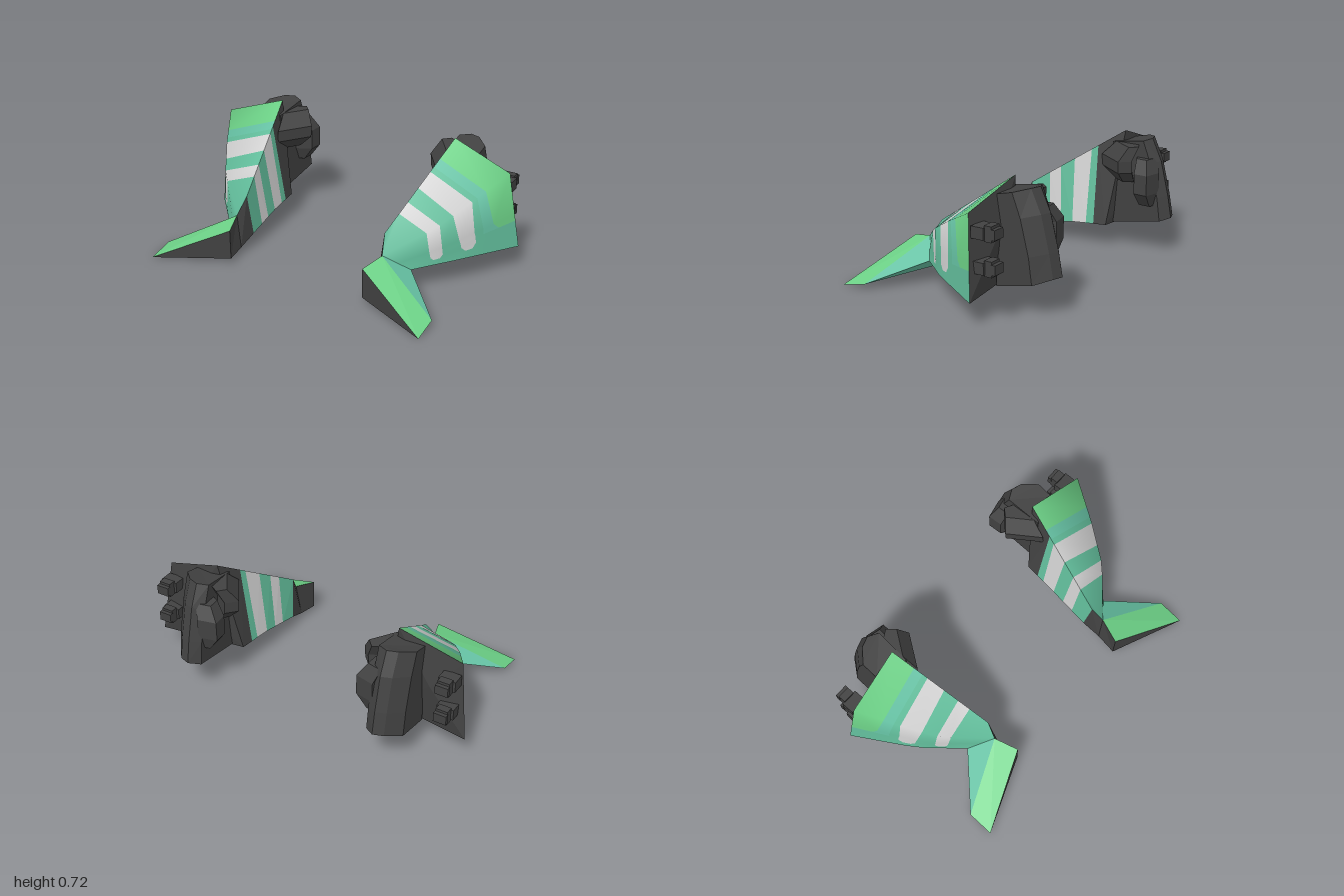
import * as THREE from 'three';

const mat = (name, color) => {
  const m = new THREE.MeshStandardMaterial({ color, side: THREE.DoubleSide });
  m.name = name;
  return m;
};
const lerp = (a, b, t) => a.map((v, i) => v + (b[i] - v) * t);
const mix = (a, b, t) => a + (b - a) * t;

// Flat-faced geometry from convex polygons, fanned into triangles
function faces(polys) {
  const pos = [];
  for (const p of polys)
    for (let i = 1; i < p.length - 1; i++) pos.push(...p[0], ...p[i], ...p[i + 1]);
  const g = new THREE.BufferGeometry();
  g.setAttribute('position', new THREE.Float32BufferAttribute(pos, 3));
  g.computeVertexNormals();
  return g;
}

// Share normals between touching corners of several geometries
function smooth(geos) {
  const sums = new Map(), v = new THREE.Vector3();
  const each = (fn) => geos.forEach((g) => {
    const p = g.attributes.position;
    for (let i = 0; i < p.count; i++)
      fn(g.attributes.normal, i, [p.getX(i), p.getY(i), p.getZ(i)].map((c) => c.toFixed(4)).join());
  });
  each((n, i, key) => {
    if (!sums.has(key)) sums.set(key, new THREE.Vector3());
    sums.get(key).add(v.fromBufferAttribute(n, i));
  });
  each((n, i, key) => {
    v.copy(sums.get(key)).normalize();
    n.setXYZ(i, v.x, v.y, v.z);
  });
}

// Mirror across x and restore the winding
function mirrored(geo) {
  const g = geo.clone().scale(-1, 1, 1);
  for (const a of [g.attributes.position, g.attributes.normal])
    for (let i = 0; i < a.count; i += 3) {
      const first = [a.getX(i), a.getY(i), a.getZ(i)];
      a.setXYZ(i, a.getX(i + 1), a.getY(i + 1), a.getZ(i + 1));
      a.setXYZ(i + 1, ...first);
    }
  return g;
}

// Point on a rail at fraction t of its z range
function at(rail, t) {
  const z0 = rail[0][2], z1 = rail[rail.length - 1][2], z = z0 + (z1 - z0) * t;
  let i = 0;
  while (i < rail.length - 2 && z > rail[i + 1][2]) i++;
  return lerp(rail[i], rail[i + 1], (z - rail[i][2]) / (rail[i + 1][2] - rail[i][2]));
}

// Row of points between two rails at the inner z stations
function row(a, b, v, stations) {
  const s = mix(a[0][2], b[0][2], v);
  const e = mix(a[a.length - 1][2], b[b.length - 1][2], v);
  return [s, ...stations, e].map((z) => {
    const t = (z - s) / (e - s);
    return lerp(at(a, t), at(b, t), v);
  });
}

// Closed loft of horizontal sections
function loft(sections) {
  const polys = [[...sections[0]], [...sections[sections.length - 1]].reverse()];
  for (let i = 0; i < sections.length - 1; i++) {
    const a = sections[i], b = sections[i + 1], n = a.length;
    for (let j = 0; j < n; j++) {
      const k = (j + 1) % n;
      polys.push([a[j], b[j], b[k], a[k]]);
    }
  }
  return faces(polys);
}

export function createModel() {
  const M = {
    teal: mat('teal', 0x62bd9b),
    light: mat('lightTeal', 0x66c2a4),
    green: mat('brightGreen', 0x6cd086),
    white: mat('paleGrey', 0xd2d2d2),
    dark: mat('charcoal', 0x414141),
  };
  const parts = [];
  const add = (name, geo, m) => parts.push([name, geo.index ? geo.toNonIndexed() : geo, m]);

  // Rails running from the back of the shell to the ankle
  const inner = [[0.48, 0.145, -0.26], [0.46, 0.135, -0.05], [0.44, 0.09, 0.215]];
  const top = [[0.58, 0.72, -0.33], [0.455, 0.34, 0.25]];
  const ridge = [[0.94, 0.6, -0.29], [0.82, 0.485, -0.07], [0.7, 0.375, 0.12], [0.48, 0.24, 0.32]];
  const outer = [[1, 0.145, -0.335], [0.8, 0.163, 0.01], [0.61, 0.145, 0.225]];

  // Shell: rows around the section, bands along it
  const plain = Array(7).fill('teal');
  const stripes = (a, b) => [a, b, 'teal', 'white', 'teal', 'white', 'teal'];
  const lining = [
    [row(outer, inner, 0, [-0.2, -0.15, -0.1, -0.05, 0.04, 0.09]), plain],
    [row(outer, inner, 0.4, [-0.2, -0.15, -0.09, -0.05, 0.05, 0.08]), stripes('teal', 'teal')],
    [row(outer, inner, 0.55, [-0.2, -0.15, -0.11, -0.03, 0.03, 0.1]), stripes('teal', 'teal')],
    [row(inner, top, 0, [-0.18, -0.16, -0.13, -0.04, 0.04, 0.115]), stripes('dark', 'teal')],
    [row(top, ridge, 0, [-0.165, -0.15, -0.125, -0.02, 0.065, 0.135])],
  ];
  const skin = [
    [row(top, ridge, 0, [-0.2, -0.15, -0.12, -0.02, 0.065, 0.135]), stripes('green', 'light')],
    [row(ridge, outer, 0, [-0.15, -0.1, -0.07, 0.03, 0.1, 0.155]), stripes('green', 'light')],
    [row(ridge, outer, 0.55, [-0.19, -0.13, -0.08, 0.005, 0.09, 0.142]), stripes('green', 'light')],
    [row(ridge, outer, 0.64, [-0.22, -0.13, -0.085, 0, 0.088, 0.14]), stripes('teal', 'teal')],
    [row(ridge, outer, 0.74, [-0.22, -0.13, -0.085, -0.003, 0.086, 0.138]), stripes('teal', 'teal')],
    [row(ridge, outer, 0.83, [-0.22, -0.13, -0.065, -0.025, 0.098, 0.126]), plain],
    [row(ridge, outer, 1, [-0.22, -0.13, -0.1, -0.05, 0.04, 0.09])],
  ];
  const bands = { teal: 'Panel', light: 'Band', green: 'Rim', white: 'Stripes', dark: 'BackPanel' };
  const sheet = (name, rows) => {
    const byColour = {}, geos = [];
    for (let i = 0; i < rows.length - 1; i++) {
      const [a, colours] = rows[i], b = rows[i + 1][0];
      colours.forEach((c, j) => (byColour[c] ??= []).push([a[j], a[j + 1], b[j + 1], b[j]]));
    }
    for (const c in byColour) {
      const g = faces(byColour[c]);
      geos.push(g);
      add(name + bands[c], g, M[c]);
    }
    return geos;
  };
  sheet('innerShell', lining);
  smooth(sheet('outerShell', skin));

  // Back panel closing the shell, slightly bulged
  const rim = [inner[0], top[0], ridge[0], outer[0]];
  add('backPanel', faces(rim.map((p, i) => [[0.78, 0.42, -0.345], p, rim[(i + 1) % 4]])), M.dark);

  // Foot
  const D = top[1], F = ridge[3], E = outer[2], G = inner[2];
  const H = [0.45, 0.045, 0.33], P0 = [0.435, 0.032, 0.455], P1 = [0.435, 0.21, 0.457];
  const P2 = [0.87, 0.002, 0.63], P3 = [0.87, 0.035, 0.478];
  add('footTip', faces([[F, P1, P2, P3], [P3, P2, P0, H]]), M.green);
  add('footHeel', faces([[F, P3, E], [E, P3, H, G]]), M.light);
  add('footCore', faces([[P1, P0, P2], [F, H, P0, P1], [D, G, H, F]]), M.dark);

  // Tall rear module, its back bowed and leaning
  const section = ([y0, y1, zs, zb]) => [
    [0.55, y0, -0.26], [0.73, y0, -0.31], [0.73, mix(y0, y1, 0.6), zs],
    [0.66, y1, zb + 0.02], [0.6, y1, zb], [0.54, mix(y0, y1, 0.8), zs - 0.06],
  ];
  add('rearModule', loft([
    [0.15, 0.225, -0.53, -0.635], [0.32, 0.36, -0.51, -0.61],
    [0.52, 0.56, -0.46, -0.56], [0.65, 0.69, -0.41, -0.5],
  ].map(section)), M.dark);

  // Faceted blocks on the inner side of the module; each ring is [y, x shift, z shift, scale]
  const block = (name, pts, rings) => {
    const cx = pts.reduce((s, p) => s + p[0], 0) / pts.length;
    const cz = pts.reduce((s, p) => s + p[1], 0) / pts.length;
    add(name, loft(rings.map(([y, dx, dz, k]) =>
      pts.map(([x, z]) => [cx + dx + (x - cx) * k, y, cz + dz + (z - cz) * k]))), M.dark);
  };
  block('innerBlock', [[0.405, -0.38], [0.46, -0.44], [0.6, -0.36], [0.53, -0.2]],
    [[0.43, 0.06, 0, 0.8], [0.5, 0.005, 0, 1], [0.57, 0, 0, 1], [0.655, 0.025, -0.05, 0.75]]);
  block('innerRearBlock', [[0.455, -0.46], [0.45, -0.545], [0.56, -0.57], [0.58, -0.4]],
    [[0.3, 0.05, 0, 0.85], [0.38, 0, 0, 1], [0.5, 0, 0, 1], [0.58, 0.04, 0.02, 0.8]]);

  // Two stepped fasteners on the back panel
  for (const y of [0.505, 0.32]) {
    for (const [w, h, d, z] of [[0.1, 0.065, 0.075, -0.345], [0.07, 0.085, 0.045, -0.4], [0.075, 0.055, 0.025, -0.432]])
      add('fastener', new THREE.BoxGeometry(w, h, d).translate(0.895, y, z), M.dark);
  }

  const model = new THREE.Group();
  model.name = 'armourPair';
  for (const side of ['left', 'right']) {
    const g = new THREE.Group();
    g.name = side + 'Piece';
    for (const [name, geo, m] of parts) {
      const mesh = new THREE.Mesh(side === 'left' ? geo : mirrored(geo), m);
      mesh.name = name;
      g.add(mesh);
    }
    model.add(g);
  }
  return model;
}
